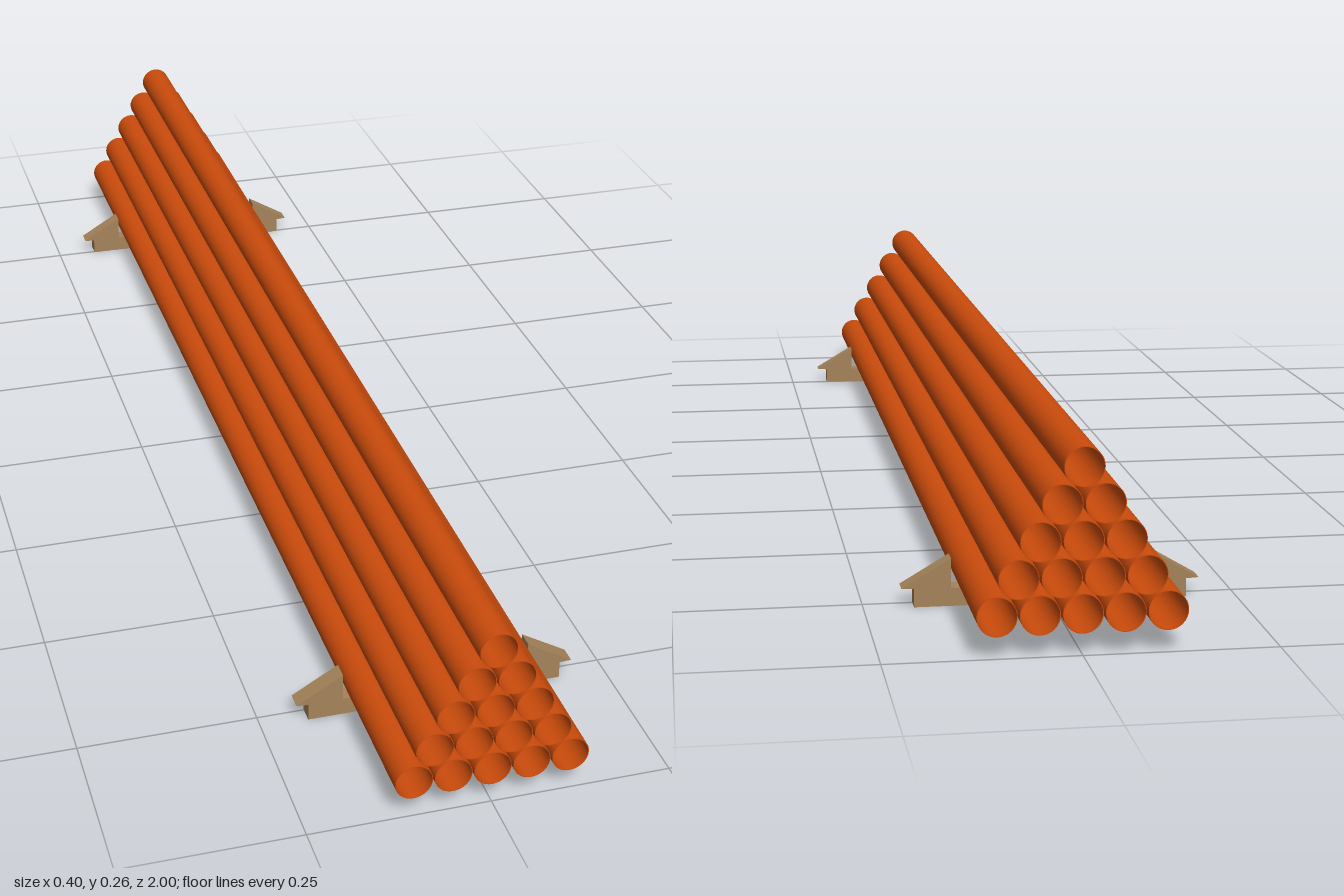
import * as THREE from 'three';
import { mergeGeometries } from 'three/addons/utils/BufferGeometryUtils.js';

const LENGTH = 2, RADIUS = 0.0255, WALL = 0.001;
const PITCH = 0.0535, ROW_HEIGHT = 0.0463, FIRST_ROW_Y = 0.0535;

// Hollow pipe along z: one lathe per profile edge keeps the rims sharp
function pipeGeometry() {
  const h = LENGTH / 2, inner = RADIUS - WALL;
  const profile = [[RADIUS, -h], [RADIUS, h], [inner, h], [inner, -h], [RADIUS, -h]]
    .map(([x, y]) => new THREE.Vector2(x, y));
  const sides = profile.slice(1).map((p, i) => new THREE.LatheGeometry([profile[i], p], 32));
  return mergeGeometries(sides).rotateX(Math.PI / 2);
}

// Cross bearer with a wedge-shaped chock at each end
function bearerGeometry() {
  const depth = 0.025;
  const half = [[0.183, 0], [0.183, 0.025], [0.2, 0.026], [0.134, 0.065], [0.134, 0.025]];
  const mirrored = half.map(([x, y]) => [-x, y]).reverse();
  const shape = new THREE.Shape([...half, ...mirrored].map(([x, y]) => new THREE.Vector2(x, y)));
  return new THREE.ExtrudeGeometry(shape, { depth, bevelEnabled: false }).translate(0, 0, -depth / 2);
}

export function createModel() {
  const model = new THREE.Group();
  model.name = 'pipeStack';
  const orange = new THREE.MeshStandardMaterial({ color: 0xcc4c0c });
  orange.name = 'orange pipe';
  const wood = new THREE.MeshStandardMaterial({ color: 0xa5835a });
  wood.name = 'brown wood';

  // Pyramid of pipes, five at the bottom and one on top
  const pipes = new THREE.Group();
  pipes.name = 'pipes';
  const pipeGeo = pipeGeometry();
  for (let row = 0; row < 5; row++) {
    const count = 5 - row;
    for (let i = 0; i < count; i++) {
      const pipe = new THREE.Mesh(pipeGeo, orange);
      pipe.name = 'pipe';
      pipe.position.set((i - (count - 1) / 2) * PITCH, FIRST_ROW_Y + row * ROW_HEIGHT, 0);
      pipes.add(pipe);
    }
  }
  model.add(pipes);

  // Front and back bearers
  const bearerGeo = bearerGeometry();
  for (const side of [1, -1]) {
    const bearer = new THREE.Mesh(bearerGeo, wood);
    bearer.name = side > 0 ? 'frontBearer' : 'backBearer';
    bearer.position.z = side * 0.76;
    model.add(bearer);
  }
  return model;
}
